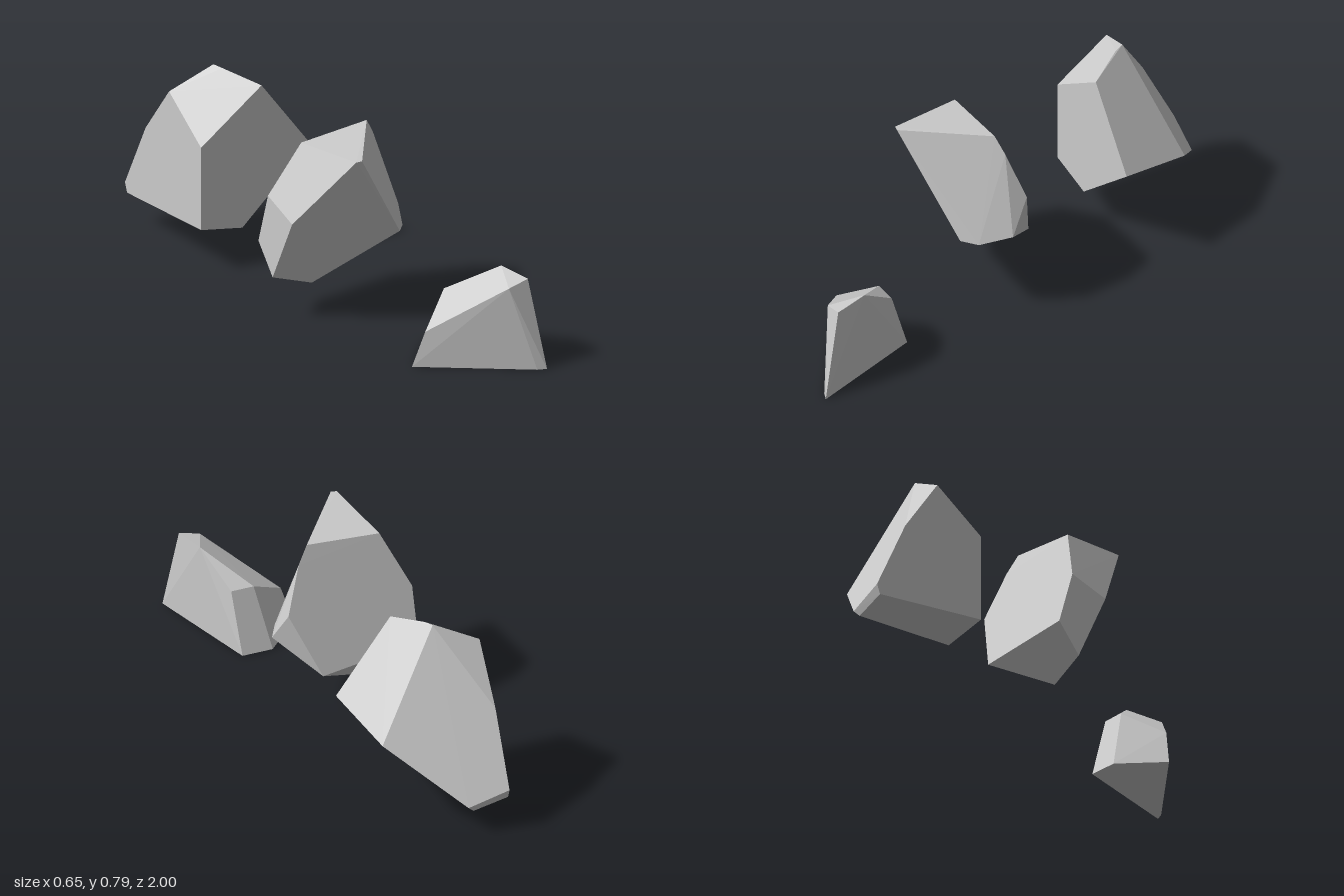
import * as THREE from 'three';
import { ConvexGeometry } from 'three/addons/geometries/ConvexGeometry.js';

// Corner points [x, y, z] of each faceted boulder
const rocks = {
  frontRock: [
    // base
    [-0.106, 0, 0.69], [0.047, 0, 0.535], [0.175, 0, 0.535], [0.323, 0, 1], [0.287, 0, 0.985],
    // shoulder and crest
    [-0.06, 0.15, 0.715], [0.095, 0.257, 0.615], [0.19, 0.257, 0.615],
    [0.2, 0.348, 0.915], [0.286, 0.37, 0.92], [0.255, 0.38, 0.78],
  ],
  middleRock: [
    // underside
    [-0.155, 0.125, 0.06], [-0.325, 0.185, 0.038], [0.085, 0.255, -0.078], [-0.325, 0.305, -0.062],
    // waist
    [0.175, 0.345, 0.205], [0.125, 0.355, 0.26], [0.235, 0.375, 0.085],
    [-0.325, 0.47, 0.175], [-0.325, 0.527, 0.005], [0.2, 0.515, 0],
    // top
    [0.133, 0.705, 0.058], [-0.215, 0.757, 0.075], [0.09, 0.775, 0.08],
    [-0.162, 0.78, 0.383], [-0.138, 0.781, 0.388],
  ],
  backRock: [
    // underside
    [-0.185, 0.1, -0.97], [-0.16, 0.125, -0.98], [-0.325, 0.14, -0.985], [-0.325, 0.18, -1],
    [-0.13, 0.145, -0.465], [-0.325, 0.187, -0.465],
    // waist
    [0.12, 0.36, -0.775], [0.19, 0.425, -0.465], [-0.325, 0.475, -0.855], [-0.325, 0.545, -0.465],
    // top
    [-0.325, 0.7, -0.69], [-0.04, 0.74, -0.465], [-0.127, 0.78, -0.61], [-0.143, 0.785, -0.65],
  ],
};

export function createModel() {
  const group = new THREE.Group();
  group.name = 'rocks';
  const material = new THREE.MeshStandardMaterial({ color: 0xcccccc, flatShading: true });
  for (const [name, corners] of Object.entries(rocks)) {
    const points = corners.map((c) => new THREE.Vector3(...c));
    const rock = new THREE.Mesh(new ConvexGeometry(points), material);
    rock.name = name;
    group.add(rock);
  }
  return group;
}
